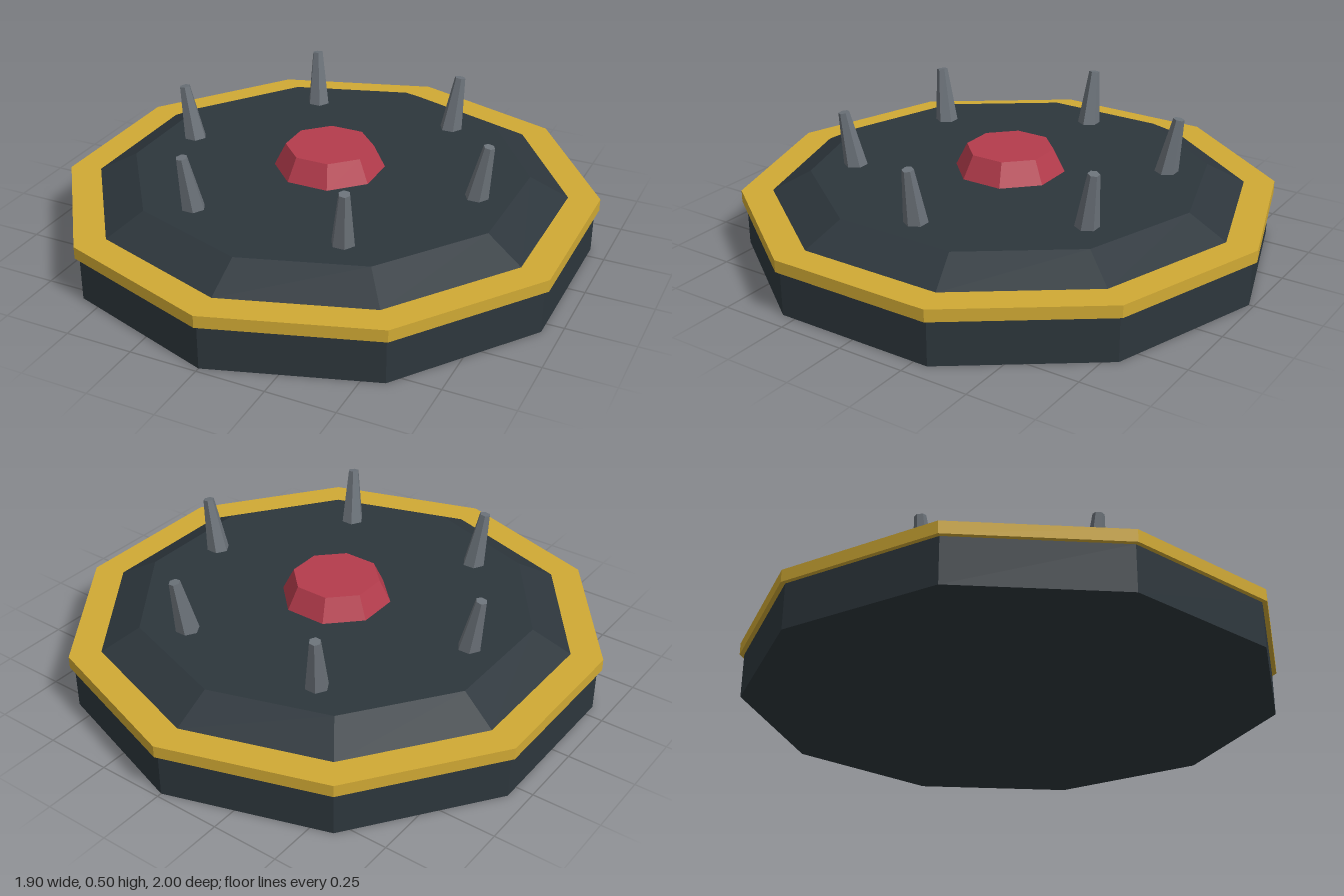
import * as THREE from 'three';

const mat = (name, color) => {
  const m = new THREE.MeshStandardMaterial({ color, flatShading: true });
  m.name = name;
  return m;
};

export function createModel() {
  const dark = mat('dark slate', 0x2d363c);
  const gold = mat('gold', 0xd0a934);
  const red = mat('crimson', 0xb43c4c);
  const steel = mat('steel grey', 0x6b7279);

  const model = new THREE.Group();
  model.name = 'spikedDisc';

  // Tapered prism standing between heights y0 and y1
  const prism = (name, rBottom, rTop, y0, y1, sides, material, turn = 0) => {
    const geo = new THREE.CylinderGeometry(rTop, rBottom, y1 - y0, sides);
    geo.rotateY(turn);
    geo.translate(0, (y0 + y1) / 2, 0);
    const mesh = new THREE.Mesh(geo, material);
    mesh.name = name;
    return mesh;
  };

  // Ten-sided body, trim band and sloped cover
  model.add(prism('base', 0.983, 0.983, 0, 0.168, 10, dark));
  model.add(prism('trimBand', 1, 1, 0.167, 0.212, 10, gold));
  model.add(prism('cover', 0.885, 0.74, 0.211, 0.287, 10, dark));

  // Octagonal centre button
  model.add(prism('centreButton', 0.206, 0.163, 0.286, 0.372, 8, red, Math.PI / 8));

  // Ring of six spikes leaning slightly outward
  for (let i = 0; i < 6; i++) {
    const pivot = new THREE.Group();
    pivot.name = 'spikePivot';
    pivot.rotation.y = (i * Math.PI) / 3;
    const spike = prism('spike', 0.045, 0.021, -0.01, 0.21, 6, steel, Math.PI / 2);
    spike.position.set(0.58, 0.285, 0);
    spike.rotation.z = -0.17;
    pivot.add(spike);
    model.add(pivot);
  }

  return model;
}
